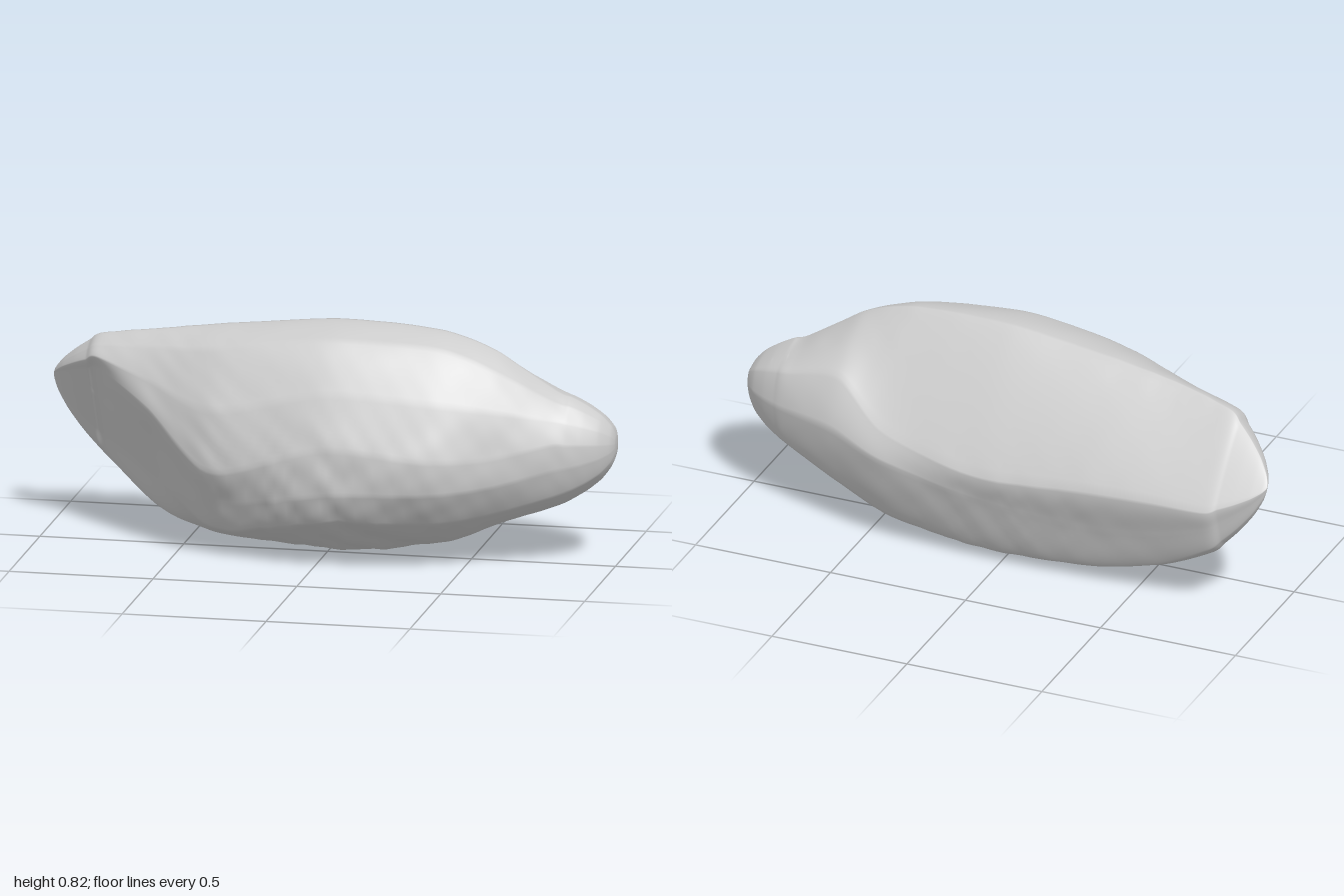
import * as THREE from 'three';

// Cross-sections along x. Each lists [z, y] for: top ridge, back ridge, lower back, back heel, underside,
// front toe, lower front, front bulge (also the rim of the flat end), upper front, shoulder.
const SECTIONS = [
  { x: -0.8, p: [[-0.09, 0.7], [-0.33, 0.42], [-0.31, 0.34], [-0.28, 0.25], [-0.23, 0.22], [-0.18, 0.31], [-0.1, 0.45], [-0.02, 0.59], [0.01, 0.64], [-0.02, 0.675]] },
  { x: -0.6, p: [[-0.05, 0.735], [-0.335, 0.42], [-0.29, 0.27], [-0.23, 0.13], [-0.11, 0.09], [-0.04, 0.21], [0.05, 0.36], [0.135, 0.5], [0.11, 0.59], [0.04, 0.69]] },
  { x: -0.35, p: [[-0.035, 0.77], [-0.335, 0.41], [-0.285, 0.24], [-0.21, 0.06], [0, 0.04], [0.14, 0.09], [0.205, 0.2], [0.27, 0.32], [0.24, 0.53], [0.13, 0.725]] },
  { x: 0.04, p: [[-0.02, 0.81], [-0.335, 0.385], [-0.31, 0.28], [-0.21, 0.04], [-0.03, 0], [0.275, 0.165], [0.325, 0.27], [0.325, 0.43], [0.26, 0.61], [0.15, 0.775]] },
  { x: 0.4, p: [[0, 0.795], [-0.285, 0.455], [-0.32, 0.36], [-0.21, 0.09], [-0.02, 0.045], [0.22, 0.16], [0.3, 0.28], [0.305, 0.4], [0.24, 0.59], [0.12, 0.755]] },
  { x: 0.6, p: [[0.01, 0.73], [-0.205, 0.585], [-0.28, 0.42], [-0.2, 0.175], [0, 0.125], [0.14, 0.19], [0.215, 0.3], [0.22, 0.4], [0.18, 0.56], [0.1, 0.685]] },
  { x: 0.8, p: [[0, 0.6], [-0.175, 0.545], [-0.215, 0.42], [-0.17, 0.26], [0, 0.2], [0.09, 0.25], [0.13, 0.35], [0.13, 0.44], [0.1, 0.52], [0.05, 0.575]] },
];
const RAILS = 10;

// Sections that shrink from an end section towards the tip
function taper(section, tip, power) {
  return [0.25, 0.5, 0.75, 0.92, 0.985, 1].map((t) => {
    const s = Math.pow(1 - t, power);
    return {
      x: THREE.MathUtils.lerp(section.x, tip.x, t),
      p: section.p.map(([z, y]) => [tip.z + (z - tip.z) * s, tip.y + (y - tip.y) * s]),
    };
  });
}

// Fine weathering, strongest on the middle of the front and underside
function weathering({ x, y, z }) {
  const warp = 1.7 * Math.sin(5 * x + 4 * y) + 1.3 * Math.sin(7 * z - 3 * x);
  const broad = Math.sin(9 * x + warp) * Math.sin(11 * y - 6 * z + 1);
  const fine = Math.sin(31 * x + 13 * y + 2 * warp) * Math.sin(27 * y - 21 * z + warp)
    + 0.5 * Math.sin(57 * x - 23 * z + warp) * Math.sin(49 * y + 17 * x);
  const middle = Math.exp(-Math.pow((x - 0.05) / 0.4, 2));
  const low = 1 - THREE.MathUtils.smoothstep(y, 0.3, 0.6);
  const ends = 1 - THREE.MathUtils.smoothstep(Math.abs(x), 0.75, 1);
  const backFace = z < -0.1 ? 0.35 : 1;
  return ends * backFace * (0.003 * broad + fine * (0.0008 + 0.0045 * middle * low));
}

function rockGeometry(rings = 220, sides = 12 * RAILS) {
  const left = taper(SECTIONS[0], { x: -1, y: 0.51, z: -0.23 }, 0.65).reverse();
  const right = taper(SECTIONS[SECTIONS.length - 1], { x: 1, y: 0.42, z: -0.03 }, 0.42);
  const all = [...left, ...SECTIONS, ...right];

  // Lengthwise rails through matching section points
  const rails = [];
  for (let k = 0; k < RAILS; k++) {
    const pts = all.map(({ x, p }) => new THREE.Vector3(x, p[k][1], p[k][0]));
    rails.push(new THREE.CatmullRomCurve3(pts, false, 'catmullrom', 0.4));
  }

  const positions = [];
  const indices = [];
  const axis = new THREE.Vector3();
  for (let i = 0; i <= rings; i++) {
    const corners = rails.map((r) => r.getPoint(i / rings));
    const loop = new THREE.CatmullRomCurve3(corners, true, 'centripetal');
    axis.set(0, 0, 0);
    corners.forEach((c) => axis.addScaledVector(c, 1 / RAILS));
    for (let j = 0; j < sides; j++) {
      const u = (j / sides) * RAILS;
      const k = Math.floor(u);
      // Mix of straight facets and a rounded loop keeps the ridges soft
      const v = corners[k].clone().lerp(corners[(k + 1) % RAILS], u - k);
      v.lerp(loop.getPoint(j / sides), 0.5);
      const out = v.clone().sub(axis).normalize();
      v.addScaledVector(out, weathering(v));
      positions.push(v.x, v.y, v.z);
      if (i < rings) {
        const a = i * sides + j;
        const c = i * sides + ((j + 1) % sides);
        indices.push(a, a + sides, c, c, a + sides, c + sides);
      }
    }
  }

  const geo = new THREE.BufferGeometry();
  geo.setAttribute('position', new THREE.Float32BufferAttribute(positions, 3));
  geo.setIndex(indices);
  // Rest on the ground, centred
  geo.computeBoundingBox();
  const { min, max } = geo.boundingBox;
  geo.translate(-(min.x + max.x) / 2, -min.y, -(min.z + max.z) / 2);
  geo.computeVertexNormals();
  return geo;
}

export function createModel() {
  const group = new THREE.Group();
  group.name = 'rock';
  const stone = new THREE.MeshStandardMaterial({ color: 0xcccccc });
  stone.name = 'grey stone';
  const boulder = new THREE.Mesh(rockGeometry(), stone);
  boulder.name = 'boulder';
  group.add(boulder);
  return group;
}
